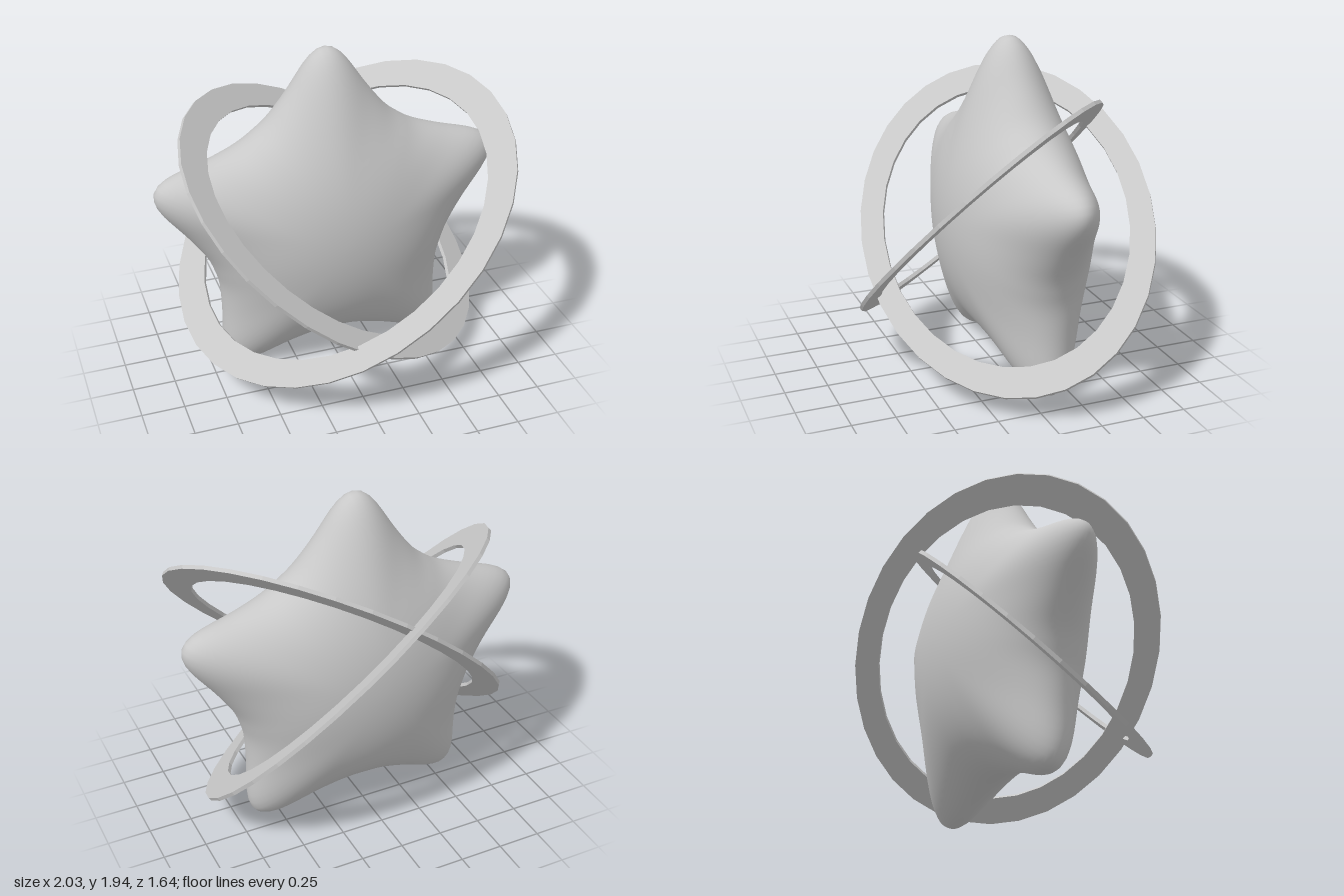
import * as THREE from 'three';
import { mergeVertices } from 'three/addons/utils/BufferGeometryUtils.js';

// Inflated five-pointed star: a sphere pulled out into rounded arms
function starGeometry() {
  const sphere = new THREE.SphereGeometry(1, 160, 64).rotateX(Math.PI / 2);
  sphere.deleteAttribute('uv');
  sphere.deleteAttribute('normal');
  const geo = mergeVertices(sphere, 1e-5);
  const pos = geo.attributes.position;
  for (let i = 0; i < pos.count; i++) {
    const x = pos.getX(i), y = pos.getY(i), z = pos.getZ(i);
    const c = Math.hypot(x, y);
    const angle = Math.atan2(x, y); // measured from the top arm
    const wave = Math.max(0, (1 + Math.cos(5 * angle)) / 2);
    const arm = 0.62 * wave ** 1.25 + 0.38 * wave ** 6;
    // arms are strongest near the rim and fade towards the two faces
    const r = 0.737 * c + 0.326 * arm * c ** 5;
    pos.setXYZ(i, r * Math.sin(angle), r * Math.cos(angle), 0.405 * z);
  }
  geo.computeVertexNormals();
  return geo;
}

// Flat oval band with a rectangular section, centred on its own plane
function ringGeometry(rx, ry, innerRatio, thickness) {
  const shape = new THREE.Shape().absellipse(0, 0, rx, ry, 0, Math.PI * 2);
  shape.holes.push(new THREE.Path().absellipse(0, 0, rx * innerRatio, ry * innerRatio, 0, Math.PI * 2, true));
  return new THREE.ExtrudeGeometry(shape, { depth: thickness, bevelEnabled: false, curveSegments: 16 })
    .translate(0, 0, -thickness / 2);
}

export function createModel() {
  const model = new THREE.Group();
  const grey = new THREE.MeshStandardMaterial({ color: 0xc8c8c8 });
  grey.name = 'light grey';

  const star = new THREE.Mesh(starGeometry(), grey);
  star.name = 'star';
  star.position.set(0, 0.877, -0.117);
  star.rotation.z = 0.01;
  model.add(star);

  // Two crossing oval rings, tilted to opposite sides
  const band = ringGeometry(1.113, 0.847, 0.838, 0.022);
  const rings = [
    ['ringLowOnLeft', 1, [0.025, 0.87, -0.07]],
    ['ringHighOnLeft', -1, [0.02, 0.945, 0.075]],
  ];
  for (const [name, side, centre] of rings) {
    const ring = new THREE.Mesh(band, grey);
    ring.name = name;
    const long = new THREE.Vector3(0.8, -0.6 * side, 0);
    const normal = new THREE.Vector3(0.527 * side, 0.702, 0.479).normalize();
    const short = new THREE.Vector3().crossVectors(normal, long).normalize();
    ring.quaternion.setFromRotationMatrix(new THREE.Matrix4().makeBasis(long, short, normal));
    ring.position.set(...centre);
    model.add(ring);
  }
  return model;
}
